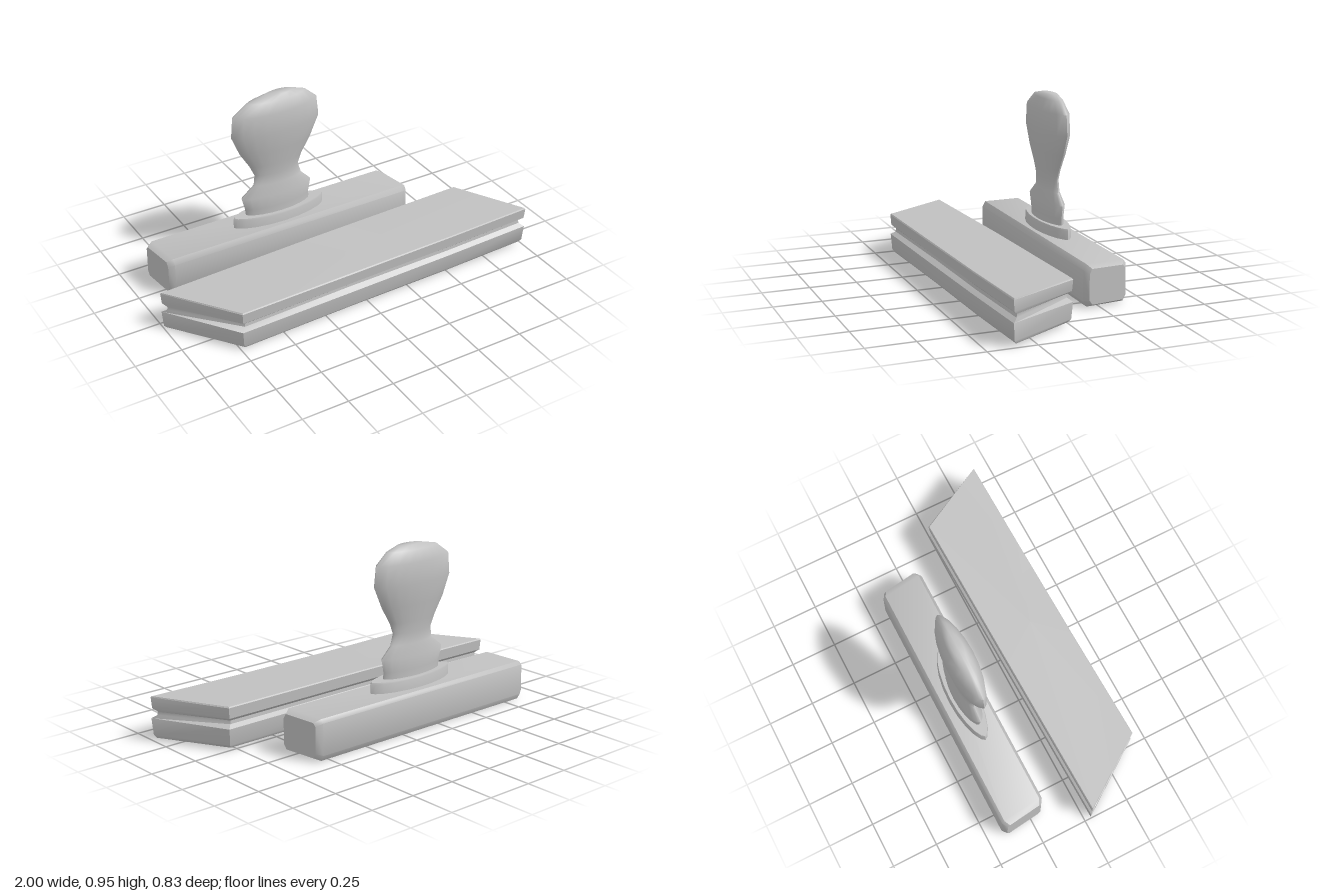
import * as THREE from 'three';
import { toCreasedNormals } from 'three/addons/utils/BufferGeometryUtils.js';

// Closed skin over cross-sections; each ring runs counter-clockwise seen from the loft's far end.
function loft(rings, crease) {
  const n = rings[0].length;
  const pos = rings.flat(2);
  const index = [];
  for (let i = 0; i < rings.length - 1; i++) {
    for (let j = 0; j < n; j++) {
      const k = (j + 1) % n;
      const a = i * n + j, b = i * n + k, c = b + n, d = a + n;
      index.push(a, b, c, a, c, d);
    }
  }
  // End caps fan out from the ring centres
  [[0, true], [rings.length - 1, false]].forEach(([r, flip]) => {
    const centre = pos.length / 3;
    for (let m = 0; m < 3; m++) pos.push(rings[r].reduce((s, p) => s + p[m], 0) / n);
    for (let j = 0; j < n; j++) {
      const a = r * n + j, b = r * n + ((j + 1) % n);
      if (flip) index.push(centre, b, a);
      else index.push(centre, a, b);
    }
  });
  const geo = new THREE.BufferGeometry();
  geo.setAttribute('position', new THREE.Float32BufferAttribute(pos, 3));
  geo.setIndex(index);
  return toCreasedNormals(geo, crease);
}

export function createModel() {
  const model = new THREE.Group();
  const grey = new THREE.MeshStandardMaterial({ color: 0xc0c0c0 });
  grey.name = 'plain grey';

  const add = (name, parent, geo) => {
    const mesh = new THREE.Mesh(geo, grey);
    mesh.name = name;
    parent.add(mesh);
  };

  // Ink pad: slanted slab with a groove all around, slightly warped.
  // Corner: x, z, inset direction x and z, lift
  const corners = [
    [-0.74, 0.41, 1, -1, 0],
    [-0.1, 0.393, 0, -1.3, 0],
    [0.5, 0.38, 0, -1, 0.004],
    [1.0, 0.37, -1, -1, 0.013],
    [0.8, -0.012, -1, 1, 0.01],
    [-0.1, 0.008, 0, 1, 0.003],
    [-1.0, 0.03, 1, 1, -0.012],
  ];
  // Level: height, inset
  const levels = [[0.001, 0.018], [0.018, 0.006], [0.105, 0], [0.122, 0.022],
    [0.14, 0.024], [0.158, 0.004], [0.215, 0], [0.221, 0.004]];
  const padRings = levels.map(([y, inset]) => corners.map(([x, z, dx, dz, lift]) =>
    [x + dx * inset, Math.max(0, y + lift), z + dz * inset]));
  add('inkPad', model, loft(padRings, 0.6));

  const stamp = new THREE.Group();
  stamp.name = 'handStamp';
  model.add(stamp);

  // Stamp block: long chamfered bar with bevelled ends
  const section = [[-0.19, 0], [-0.4, 0], [-0.417, 0.03], [-0.415, 0.195],
    [-0.4, 0.214], [-0.187, 0.219], [-0.17, 0.19], [-0.17, 0.03]];
  const blockRings = [[-0.865, 0.84, 0.1], [-0.835, 1, 0.1], [0.555, 1, 0.12], [0.588, 0.84, 0.12]]
    .map(([x, s, skew]) => section.map(([z, y]) =>
      [x + skew * (z + 0.295), 0.109 + (y - 0.109) * s, -0.294 + (z + 0.294) * s]));
  add('stampBlock', stamp, loft(blockRings, 0.7));

  // Flattened parts with a lens-like outline. Level: height, left x, right x, half depth
  const SIDES = 20;
  const lensRings = (rows) => rows.map(([y, x0, x1, depth]) =>
    Array.from({ length: SIDES }, (_, j) => {
      const t = (j / SIDES) * Math.PI * 2;
      const s = Math.sin(t);
      return [(x0 + x1) / 2 + Math.cos(t) * (x1 - x0) / 2, y,
        -0.288 - Math.sign(s) * Math.pow(Math.abs(s), 1.25) * depth];
    }));

  add('collar', stamp, loft(lensRings([
    [0.2, -0.42, 0.12, 0.078],
    [0.265, -0.42, 0.12, 0.074],
    [0.274, -0.415, 0.115, 0.07],
  ]), 0.7));

  add('handle', stamp, loft(lensRings([
    [0.26, -0.345, 0.035, 0.055],
    [0.31, -0.35, 0.035, 0.052],
    [0.38, -0.368, 0.048, 0.058],
    [0.44, -0.295, -0.01, 0.037],
    [0.5, -0.288, -0.028, 0.038],
    [0.56, -0.315, -0.005, 0.045],
    [0.65, -0.37, 0.05, 0.06],
    [0.76, -0.415, 0.1, 0.074],
    [0.87, -0.405, 0.088, 0.07],
    [0.93, -0.32, 0.02, 0.048],
    [0.953, -0.21, -0.05, 0.03],
  ]), 1.1));

  return model;
}
